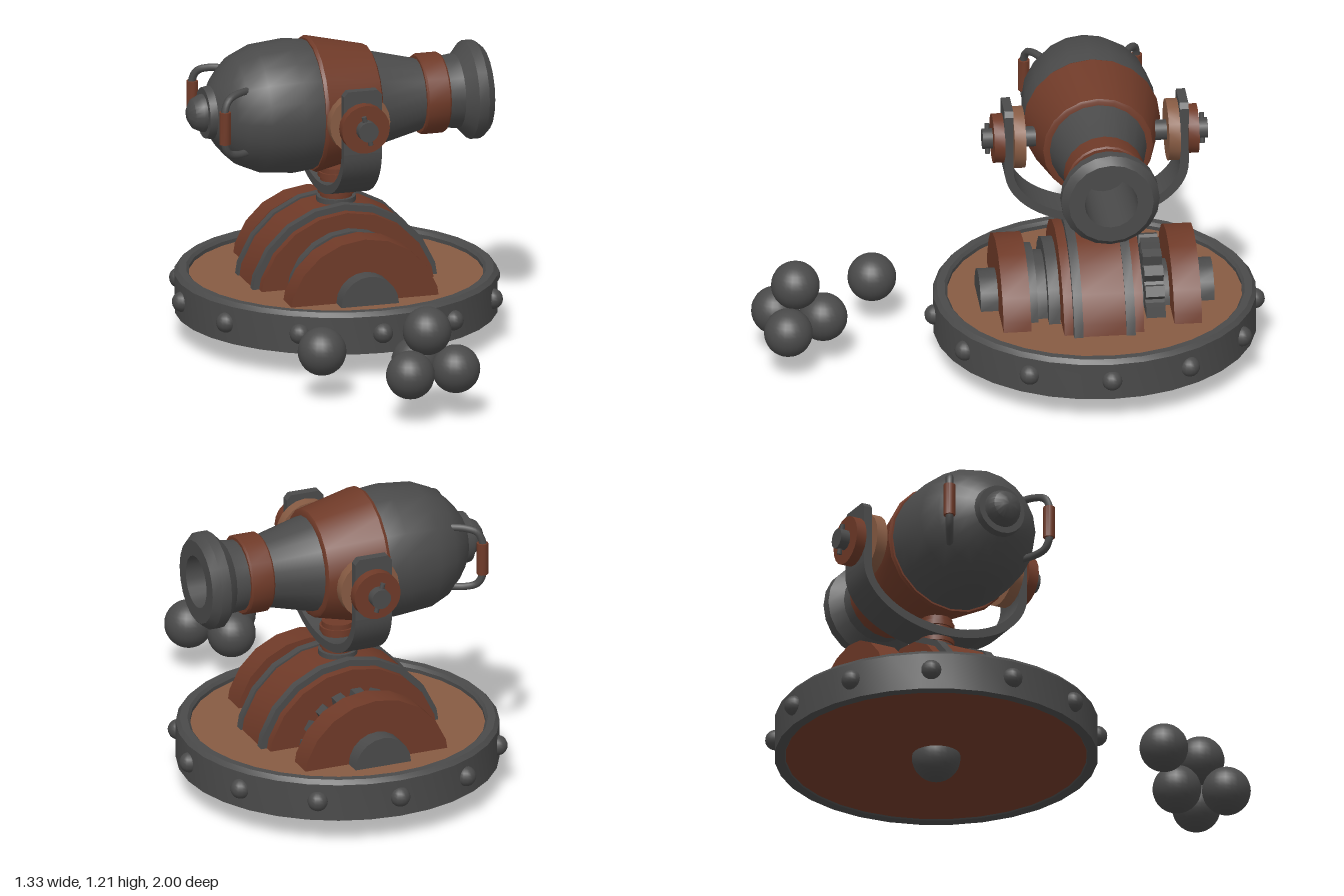
import * as THREE from 'three';
import { toCreasedNormals } from 'three/addons/utils/BufferGeometryUtils.js';

const iron = new THREE.MeshStandardMaterial({ color: 0x4a4a4a });
const wood = new THREE.MeshStandardMaterial({ color: 0x6f3a28 });
const paleWood = new THREE.MeshStandardMaterial({ color: 0x875b43 });

const CENTRE_Z = -0.335;
const AXIS_Y = 0.94;

function add(parent, name, geometry, material, x = 0, y = 0, z = 0) {
  const mesh = new THREE.Mesh(geometry, material);
  mesh.name = name;
  mesh.position.set(x, y, z);
  parent.add(mesh);
  return mesh;
}

// Profile given as [radius, height] pairs
const lathe = (profile, sides) => toCreasedNormals(
  new THREE.LatheGeometry(profile.map(([r, h]) => new THREE.Vector2(r, h)), sides), 0.6);

const cylinder = (r, h, sides = 20) => toCreasedNormals(new THREE.CylinderGeometry(r, r, h, sides), 0.6);

// Extrusion centred on z = 0
const slab = (shape, depth) => toCreasedNormals(
  new THREE.ExtrudeGeometry(shape, { depth, bevelEnabled: false, curveSegments: 16 })
    .translate(0, 0, -depth / 2), 0.6);

// Upright half disc with faceted rim
function halfDisc(r, depth, sides = 10) {
  const pts = [];
  for (let i = 0; i <= sides; i++) {
    const a = (i / sides) * Math.PI;
    pts.push(new THREE.Vector2(r * Math.cos(a), r * Math.sin(a)));
  }
  return slab(new THREE.Shape(pts), depth);
}

// Upper half of a toothed wheel
function halfGear(r, tooth, depth, teeth) {
  const pts = [];
  for (let i = 0; i < teeth; i++) {
    for (const [f, d] of [[0.1, 0], [0.25, tooth], [0.75, tooth], [0.9, 0]]) {
      const a = ((i + f) / teeth) * Math.PI;
      pts.push(new THREE.Vector2((r + d) * Math.cos(a), (r + d) * Math.sin(a)));
    }
  }
  return slab(new THREE.Shape(pts), depth);
}

function createBase() {
  const base = new THREE.Group();
  base.name = 'base';
  add(base, 'rim', lathe([[0.59, 0.1], [0.63, 0.1], [0.63, 0.25], [0.615, 0.267],
    [0.585, 0.267], [0.575, 0.255], [0.575, 0.12], [0.59, 0.1]], 32), iron);
  add(base, 'floor', cylinder(0.58, 0.13, 32), paleWood, 0, 0.175);
  add(base, 'underside', cylinder(0.59, 0.02, 32), wood, 0, 0.115);
  add(base, 'pivotBall', new THREE.SphereGeometry(0.095, 24, 16), iron, 0, 0.095);
  for (let i = 0; i < 12; i++) {
    const a = (i / 12) * Math.PI * 2;
    add(base, 'rimStud', new THREE.SphereGeometry(0.04, 14, 10), iron,
      0.626 * Math.sin(a), 0.18, 0.626 * Math.cos(a));
  }
  return base;
}

function createMount() {
  const mount = new THREE.Group();
  mount.name = 'mount';
  add(mount, 'mainArch', halfDisc(0.378, 0.18), wood, 0, 0.17);
  for (const s of [-1, 1]) {
    add(mount, 'ironBand', halfDisc(0.385, 0.036), iron, 0, 0.17, s * 0.102);
    add(mount, 'archCheek', halfDisc(0.36, 0.036), wood, 0, 0.17, s * 0.138);
    add(mount, 'sideArch', halfDisc(0.308, 0.108), wood, 0, 0.182, s * 0.334);
    add(mount, 'hub', halfDisc(0.117, 0.07), iron, 0, 0.242, s * 0.422);
  }
  // Plain discs in front, toothed wheel behind
  add(mount, 'innerDisc', halfDisc(0.25, 0.045), iron, 0, 0.22, 0.182);
  add(mount, 'middleDisc', halfDisc(0.2, 0.06), iron, 0, 0.22, 0.225);
  add(mount, 'outerDisc', halfDisc(0.23, 0.04), iron, 0, 0.22, 0.265);
  add(mount, 'gear', halfGear(0.2, 0.04, 0.075, 9), iron, 0, 0.22, -0.215);
  add(mount, 'gearAxle', halfDisc(0.14, 0.14), iron, 0, 0.22, -0.22);
  // Swivel post
  add(mount, 'postCollar', cylinder(0.077, 0.02), iron, 0, 0.55);
  add(mount, 'post', cylinder(0.063, 0.17), wood, 0, 0.595);
  add(mount, 'postLip', cylinder(0.071, 0.018), wood, 0, 0.582);
  add(mount, 'postCap', cylinder(0.071, 0.02), wood, 0, 0.65);
  return mount;
}

function createYoke() {
  const yoke = new THREE.Group();
  yoke.name = 'yoke';
  // Curved lower half
  const curve = new THREE.Shape();
  curve.absellipse(0, 0, 0.36, 0.24, Math.PI, Math.PI * 2, false, 0);
  curve.lineTo(0.325, 0);
  curve.absellipse(0, 0, 0.325, 0.205, Math.PI * 2, Math.PI, true, 0);
  add(yoke, 'yokeCurve', slab(curve, 0.154), iron, 0, 0.83).rotation.y = Math.PI / 2;
  // Upright straps with clipped corners
  const strap = new THREE.Shape([[-0.077, 0.83], [0.077, 0.83], [0.077, 1.065], [0.06, 1.085],
    [-0.06, 1.085], [-0.077, 1.065]].map(([x, y]) => new THREE.Vector2(x, y)));
  for (const s of [-1, 1]) {
    add(yoke, 'yokeStrap', slab(strap, 0.035), iron, 0, 0, s * 0.3425);
    for (const [name, r, depth, z, mat] of [
      ['innerWasher', 0.122, 0.045, 0.302, paleWood],
      ['outerWasher', 0.097, 0.042, 0.38, wood],
      ['trunnion', 0.04, 0.25, 0.315, iron]]) {
      add(yoke, name, cylinder(r, depth), mat, 0, AXIS_Y, s * z).rotation.x = Math.PI / 2;
    }
    add(yoke, 'cotterPin', new THREE.CylinderGeometry(0.01, 0.01, 0.12, 8), iron,
      0, AXIS_Y, s * 0.42).rotation.z = 0.24;
  }
  return yoke;
}

function createBarrel() {
  const barrel = new THREE.Group();
  barrel.name = 'barrel';
  barrel.position.y = AXIS_Y;
  const turned = (name, profile, material) => {
    add(barrel, name, lathe(profile, 20), material).rotation.z = -Math.PI / 2;
  };
  // Breech knob, body, flared muzzle and bore in one turned profile
  turned('barrelBody', [[0, -0.605], [0.028, -0.603], [0.058, -0.585], [0.073, -0.555], [0.075, -0.54],
    [0.1, -0.54], [0.105, -0.51], [0.135, -0.492], [0.178, -0.455], [0.215, -0.415], [0.25, -0.335],
    [0.263, -0.2], [0.254, -0.11], [0.19, 0.13], [0.14, 0.33], [0.14, 0.43], [0.147, 0.485],
    [0.193, 0.527], [0.193, 0.567], [0.166, 0.597], [0.104, 0.597], [0.1, 0.3], [0, 0.3]], iron);
  turned('wideBand', [[0.24, -0.118], [0.262, -0.118], [0.268, -0.105], [0.215, 0.125],
    [0.205, 0.131], [0.18, 0.131]], wood);
  turned('muzzleBand', [[0.13, 0.327], [0.152, 0.327], [0.158, 0.334], [0.158, 0.418],
    [0.152, 0.425], [0.13, 0.425]], wood);
  // Breech handles
  for (const s of [-1, 1]) {
    const handle = new THREE.Group();
    handle.name = 'handle';
    const path = new THREE.CatmullRomCurve3([[-0.4, 0.125, 0.155], [-0.46, 0.123, 0.188],
      [-0.5, 0.108, 0.21], [-0.518, 0.07, 0.22], [-0.518, -0.07, 0.22], [-0.5, -0.108, 0.21],
      [-0.46, -0.123, 0.188], [-0.4, -0.125, 0.155]].map(([x, y, z]) => new THREE.Vector3(x, y, s * z)));
    add(handle, 'handleRod', new THREE.TubeGeometry(path, 40, 0.015, 8), iron);
    add(handle, 'handleGrip', cylinder(0.023, 0.13, 12), wood, -0.518, 0, s * 0.22);
    barrel.add(handle);
  }
  return barrel;
}

export function createModel() {
  const model = new THREE.Group();
  model.name = 'swivelCannon';
  const cannon = new THREE.Group();
  cannon.name = 'cannon';
  cannon.position.z = CENTRE_Z;
  cannon.add(createBase(), createMount(), createYoke(), createBarrel());
  model.add(cannon);
  // Stacked shot and one stray ball
  for (const [x, y, z] of [[-0.312, 0.195, 0.502], [0, 0.195, 0.727], [-0.076, 0.195, 0.905],
    [0.118, 0.195, 0.876], [0.013, 0.347, 0.837]]) {
    add(model, 'cannonball', new THREE.SphereGeometry(0.095, 24, 16), iron, x, y, z);
  }
  return model;
}
